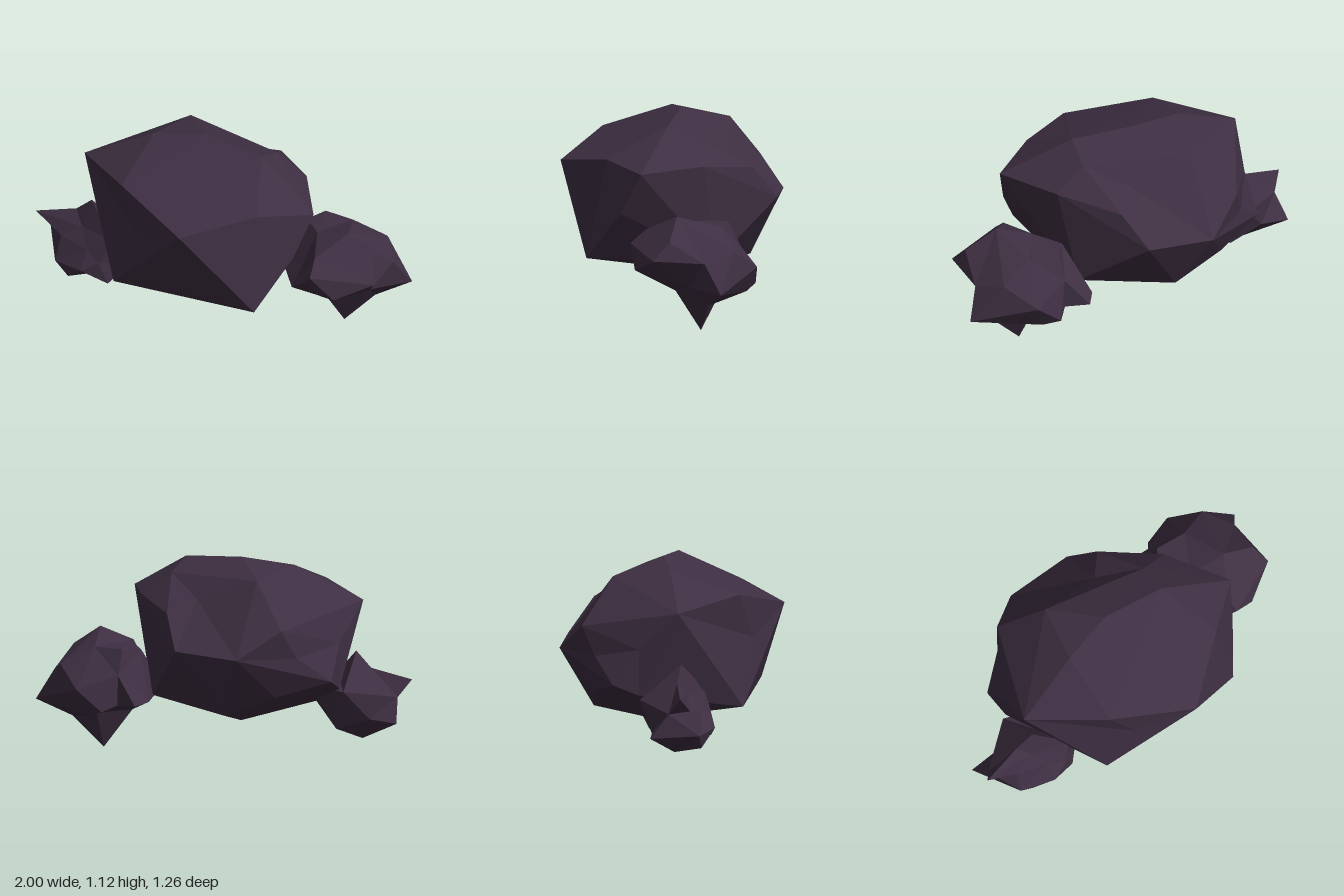
import * as THREE from 'three';
import { ConvexGeometry } from 'three/addons/geometries/ConvexGeometry.js';

// Faceted rock. The corners are joined by the hull of their guide points, then
// put in place, so that dents and spikes are kept. A fourth number on a corner
// lifts its guide point off the boulder to make a dent; a spiky rock uses
// guide points on a sphere round its centre.
function rockGeometry(points, centre, spiky) {
  const c = new THREE.Vector3(...centre);
  const corners = points.map(([x, y, z]) => new THREE.Vector3(x, y, z));
  const guides = corners.map((p, i) => {
    const d = p.clone().sub(c);
    return spiky ? d.normalize() : d.multiplyScalar(points[i][3] ?? 1);
  });
  const geo = new ConvexGeometry(guides);
  const pos = geo.attributes.position;
  const v = new THREE.Vector3();
  for (let i = 0; i < pos.count; i++) {
    v.fromBufferAttribute(pos, i);
    let best = 0;
    guides.forEach((g, k) => {
      if (g.distanceToSquared(v) < guides[best].distanceToSquared(v)) best = k;
    });
    pos.setXYZ(i, corners[best].x, corners[best].y, corners[best].z);
  }
  geo.computeVertexNormals();
  return geo;
}

export function createModel() {
  const group = new THREE.Group();
  group.name = 'rockCluster';
  const stone = new THREE.MeshStandardMaterial({ color: 0x3e2f42, flatShading: true });
  stone.name = 'dark purple stone';

  const add = (name, points, centre, spiky) => {
    const mesh = new THREE.Mesh(rockGeometry(points, centre, spiky), stone);
    mesh.name = name;
    group.add(mesh);
  };

  // Large boulder
  add('mainBoulder', [
    // crown
    [-0.08, 1.115, 0.01], [0.29, 1.09, -0.025], [-0.35, 1.08, 0.14], [-0.35, 1.03, -0.2],
    [0.26, 1.02, -0.2], [0, 0.905, -0.3, 1.17],
    // upper rim
    [-0.71, 0.895, 0.31], [-0.28, 0.95, 0.525], [0.21, 0.84, 0.63], [0.49, 0.915, 0.28],
    [0.695, 0.88, 0.02], [0.42, 0.89, -0.27], [0.09, 0.835, -0.46], [-0.6, 0.78, -0.3],
    // sides
    [-0.13, 0.69, 0.56, 1.1], [0.65, 0.64, 0.15], [-0.05, 0.645, -0.565], [-0.43, 0.62, -0.49],
    [-0.72, 0.68, 0.08, 1.07], [-0.77, 0.48, -0.06], [-0.72, 0.42, 0.08], [-0.64, 0.62, -0.21, 1.08],
    // lower rim
    [-0.31, 0.32, 0.56], [0.09, 0.39, 0.51, 1.04], [0.55, 0.355, 0.38], [0.31, 0.33, -0.31],
    [-0.52, 0.39, -0.25], [-0.5, 0.32, 0.2],
    // underside
    [-0.12, 0.195, -0.05], [0.25, 0.26, -0.1], [-0.24, 0.27, -0.35],
  ], [0, 0.6, 0], false);

  // Medium spiky rock at the back left
  add('leftRock', [
    // downward spike and the dents around it
    [0.65, 0, -0.32], [0.65, 0.22, -0.17], [0.5, 0.22, -0.25], [0.8, 0.175, -0.41],
    [0.62, 0.21, -0.42],
    // front and outer side
    [0.71, 0.49, 0.075], [0.83, 0.36, 0.015], [0.655, 0.43, 0.055], [0.65, 0.285, -0.07],
    [0.54, 0.34, 0.02], [1, 0.45, -0.14], [0.94, 0.55, -0.22], [0.85, 0.285, -0.3],
    [0.92, 0.435, -0.42], [0.97, 0.27, -0.53],
    // top
    [0.76, 0.665, -0.21], [0.68, 0.57, -0.01], [0.55, 0.6, -0.2], [0.62, 0.59, -0.44],
    [0.44, 0.59, -0.42], [0.4, 0.58, -0.3],
    // back and inner side
    [0.6, 0.37, -0.635], [0.78, 0.49, -0.55], [0.46, 0.25, -0.585], [0.56, 0.22, -0.56],
    [0.28, 0.29, -0.51], [0.25, 0.31, -0.42], [0.42, 0.45, -0.485], [0.42, 0.28, -0.49],
    [0.4, 0.35, -0.1],
  ], [0.66, 0.38, -0.3], true);

  // Small spiky rock at the front right
  add('rightRock', [
    // outer spikes with the notch between them
    [-0.98, 0.455, 0.41], [-1, 0.225, 0.24], [-0.94, 0.36, 0.33],
    // top spike and its foot
    [-0.66, 0.6, 0.31], [-0.76, 0.51, 0.32], [-0.57, 0.44, 0.27], [-0.69, 0.435, 0.36],
    // front
    [-0.46, 0.44, 0.38], [-0.61, 0.34, 0.42], [-0.51, 0.3, 0.44], [-0.6, 0.24, 0.49],
    [-0.8, 0.22, 0.465], [-0.8, 0.36, 0.41], [-0.38, 0.29, 0.3],
    // underside
    [-0.46, 0.175, 0.42], [-0.62, 0.17, 0.4], [-0.72, 0.14, 0.45], [-0.72, 0.11, 0.29],
    [-0.84, 0.24, 0.2], [-0.65, 0.175, 0.14],
    // back
    [-0.74, 0.4, 0.09], [-0.5, 0.4, 0.12],
  ], [-0.68, 0.32, 0.3], true);

  return group;
}
